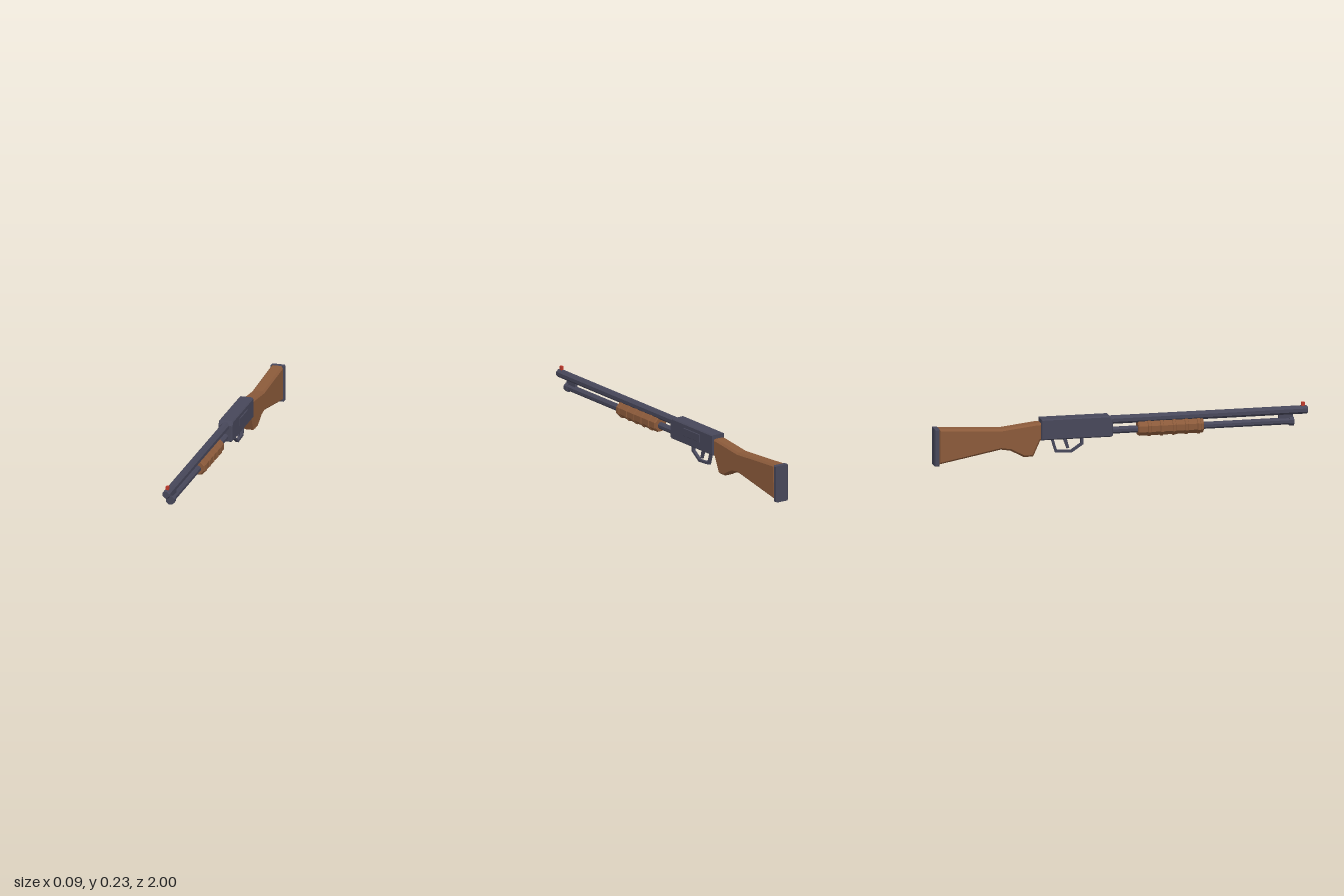
import * as THREE from 'three';

export function createModel() {
  const model = new THREE.Group();
  const mat = (name, color) => {
    const m = new THREE.MeshStandardMaterial({ color });
    m.name = name;
    return m;
  };
  const metal = mat('dark steel', 0x47475a);
  const wood = mat('brown wood', 0x8b5a3a);
  const red = mat('red sight', 0xc0392b);

  const add = (name, geometry, material) => {
    const mesh = new THREE.Mesh(geometry, material);
    mesh.name = name;
    model.add(mesh);
    return mesh;
  };

  // Side outline given as [z, y] points, extruded across x with a chamfer
  const slab = (name, points, width, bevel, material, x = 0) => {
    const shape = new THREE.Shape(points.map(([z, y]) => new THREE.Vector2(z, y)));
    const depth = width - 2 * bevel;
    const g = new THREE.ExtrudeGeometry(shape, {
      depth, bevelEnabled: bevel > 0, bevelThickness: bevel,
      bevelSize: bevel, bevelOffset: -bevel, bevelSegments: 1,
    });
    g.translate(0, 0, -depth / 2);
    g.rotateY(-Math.PI / 2);
    g.translate(x, 0, 0);
    return add(name, g, material);
  };
  const rect = (z0, z1, y0, y1) => [[z0, y0], [z1, y0], [z1, y1], [z0, y1]];

  // Eight-sided bar along z, with [radius to flat, z] profile points, back to front
  const bar = (name, y, profile, material) => {
    const k = 1 / Math.cos(Math.PI / 8);
    const pts = profile.map(([r, z]) => new THREE.Vector2(r * k, z));
    let g = new THREE.LatheGeometry(pts, 8, Math.PI / 8).toNonIndexed();
    g.computeVertexNormals();
    g.rotateX(Math.PI / 2);
    g.translate(0, y, 0);
    return add(name, g, material);
  };

  // Barrel with chamfered muzzle, magazine tube with its cap
  bar('barrel', 0.194, [[0, -0.08], [0.021, -0.08], [0.021, 0.994], [0.016, 1], [0, 1]], metal);
  bar('magazineTube', 0.137, [[0, -0.08], [0.0172, -0.08], [0.0172, 0.905], [0, 0.905]], metal);
  bar('magazineCap', 0.136, [[0, 0.9], [0.0225, 0.9], [0.0225, 0.925], [0, 0.925]], metal);
  slab('barrelLug', rect(0.845, 0.92, 0.145, 0.182), 0.016, 0, metal);
  slab('frontSight', rect(0.966, 0.984, 0.21, 0.235), 0.014, 0, red);

  // Pump grip with raised ribs
  bar('pumpGrip', 0.141, [[0, 0.09], [0.033, 0.09], [0.038, 0.096],
    [0.038, 0.434], [0.033, 0.44], [0, 0.44]], wood);
  for (let i = 0; i < 5; i++) {
    const z = 0.15 + i * 0.066;
    bar('pumpRib', 0.141, [[0.036, z - 0.011], [0.042, z - 0.007],
      [0.042, z + 0.007], [0.036, z + 0.011]], wood);
  }

  // Receiver and ejection port cover on the left side
  slab('receiver', [[-0.43, 0.11], [-0.055, 0.11], [-0.048, 0.117], [-0.048, 0.2],
    [-0.066, 0.222], [-0.43, 0.222]], 0.077, 0.006, metal);
  slab('ejectionPort', rect(-0.315, -0.175, 0.155, 0.198), 0.008, 0.002, metal, 0.039);

  // Trigger and its angular guard
  slab('triggerGuard', [
    [-0.2, 0.115], [-0.2, 0.071], [-0.262, 0.03], [-0.35, 0.036], [-0.374, 0.115],
    [-0.361, 0.115], [-0.34, 0.048], [-0.265, 0.043], [-0.213, 0.078], [-0.213, 0.115],
  ], 0.016, 0, metal);
  slab('trigger', [[-0.311, 0.115], [-0.29, 0.115], [-0.274, 0.056], [-0.288, 0.053]],
    0.012, 0, metal);

  // Shoulder stock and butt plate
  slab('stock', [
    [-0.425, 0.2], [-0.425, 0.107], [-0.434, 0.107], [-0.472, 0.024], [-0.522, 0.024],
    [-0.594, 0.062], [-0.645, 0.07], [-0.975, 0.008], [-0.975, 0.198], [-0.64, 0.18],
    [-0.45, 0.202],
  ].reverse(), 0.068, 0.01, wood);
  slab('buttPlate', rect(-1, -0.974, 0, 0.198), 0.077, 0.005, metal);

  return model;
}
